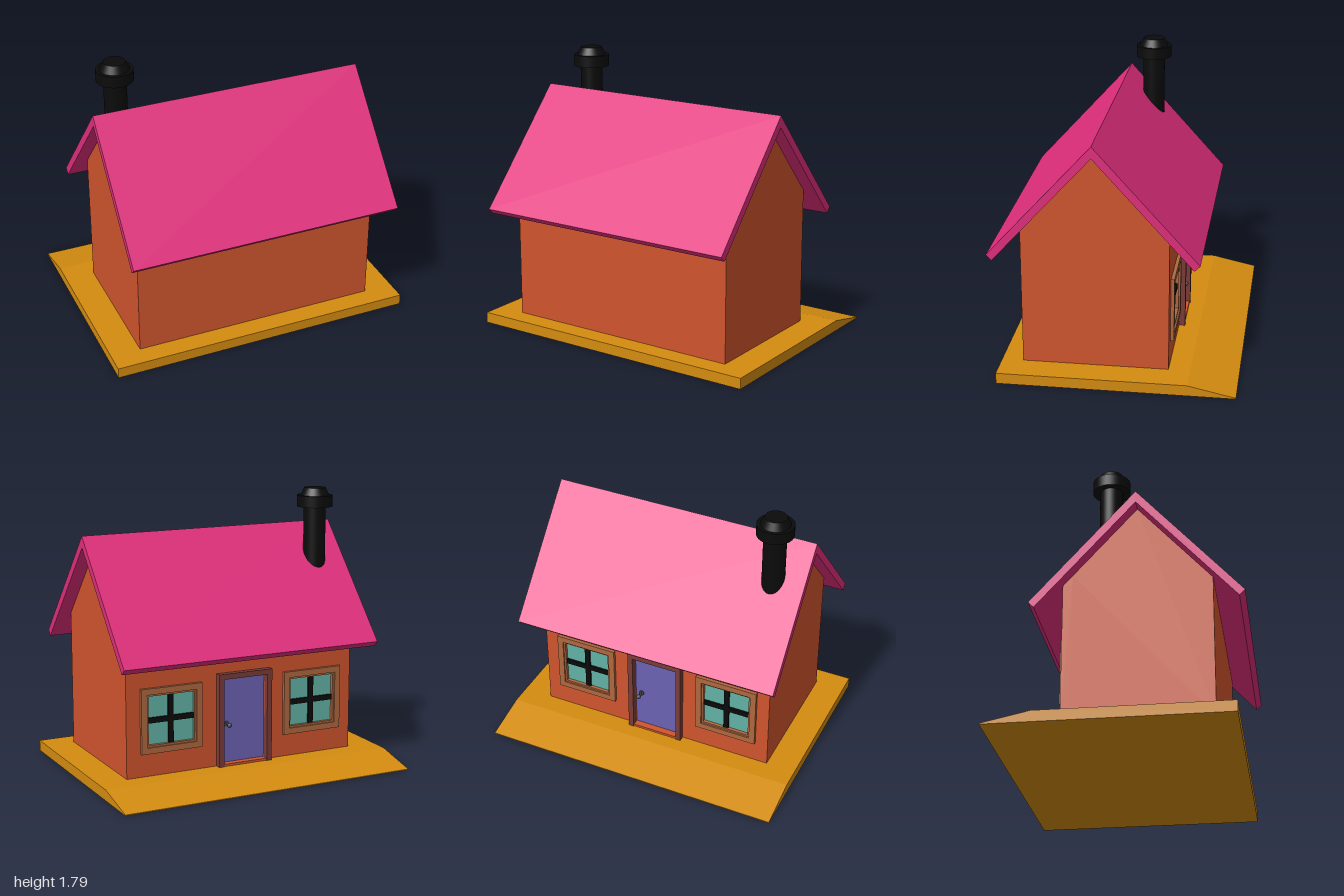
import * as THREE from 'three';

const mat = (color) => new THREE.MeshStandardMaterial({ color, roughness: 0.8 });
const M = {
  base: mat(0xd48c10), wall: mat(0xd0552e), roof: mat(0xe02e7c), black: mat(0x0b0b0b),
  frame: mat(0x7a3c38), wood: mat(0xb0683f), door: mat(0x6c62b4), glass: mat(0x62b3a6),
  metal: mat(0x4a4a55),
};

const poly = (pts) => new THREE.Shape(pts.map(([x, y]) => new THREE.Vector2(x, y)));
const rect = (x0, x1, y0, y1) => [[x0, y0], [x1, y0], [x1, y1], [x0, y1]];

function add(parent, name, geo, material, x = 0, y = 0, z = 0) {
  const m = new THREE.Mesh(geo, material);
  m.name = name;
  m.position.set(x, y, z);
  parent.add(m);
  return m;
}

const box = (w, h, d) => new THREE.BoxGeometry(w, h, d);
const slab = (shape, depth) => new THREE.ExtrudeGeometry(shape, { depth, bevelEnabled: false });

// Extrudes a (z, y) profile across the width, centred on x = 0
function across(pts, width) {
  return slab(poly(pts), width).translate(0, 0, -width / 2).rotateY(-Math.PI / 2);
}

// Square ring facing the back, centred on its own origin
function ring(outer, inner, depth) {
  const s = poly(rect(-outer, outer, -outer, outer));
  s.holes.push(poly(rect(-inner, inner, -inner, inner)));
  return slab(s, depth);
}

const WALL = -0.34, WIN_Y = 0.43, WIN_X = 0.505, WIN_R = 0.17;

function createWindow(x) {
  const g = new THREE.Group();
  g.name = 'window';
  g.position.set(x, WIN_Y, 0);
  add(g, 'windowFrame', ring(0.21, WIN_R, 0.025), M.wood, 0, 0, -0.362);
  add(g, 'windowInnerFrame', ring(WIN_R + 0.005, WIN_R - 0.012, 0.04), M.wood, 0, 0, -0.352);
  add(g, 'glass', box(0.34, 0.34, 0.01), M.glass, 0, 0, -0.325);
  add(g, 'verticalBar', box(0.035, 0.33, 0.02), M.black, 0, 0, -0.333);
  add(g, 'horizontalBar', box(0.33, 0.035, 0.02), M.black, 0, 0, -0.333);
  return g;
}

function createDoor() {
  const g = new THREE.Group();
  g.name = 'door';
  g.position.x = -0.01;
  // Surround with jambs and lintel
  const surround = poly([[-0.19, 0.07], [-0.155, 0.07], [-0.155, 0.645], [0.155, 0.645],
    [0.155, 0.07], [0.19, 0.07], [0.19, 0.68], [-0.19, 0.68]]);
  add(g, 'doorFrame', slab(surround, 0.045), M.frame, 0, 0, -0.38);
  add(g, 'doorPanel', box(0.31, 0.56, 0.02), M.door, 0, 0.365, -0.32);
  add(g, 'doorStep', box(0.31, 0.015, 0.035), M.wall, 0, 0.0775, -0.3575);
  // Knob on a short stem
  add(g, 'knobPlate', new THREE.CylinderGeometry(0.018, 0.018, 0.008, 20).rotateX(Math.PI / 2),
    M.metal, 0.115, 0.34, -0.333);
  add(g, 'knobStem', new THREE.CylinderGeometry(0.007, 0.007, 0.045, 12).rotateX(Math.PI / 2),
    M.metal, 0.115, 0.34, -0.352);
  add(g, 'knob', new THREE.SphereGeometry(0.015, 20, 14), M.metal, 0.115, 0.34, -0.376);
  return g;
}

function createChimney() {
  const g = new THREE.Group();
  g.name = 'chimney';
  g.position.set(-0.685, 0, -0.06);
  const cyl = (rt, rb, h) => new THREE.CylinderGeometry(rt, rb, h, 40);
  add(g, 'pipe', cyl(0.073, 0.073, 0.48), M.black, 0, 1.44, 0);
  add(g, 'collar', cyl(0.118, 0.118, 0.075), M.black, 0, 1.7025, 0);
  add(g, 'cap', cyl(0.07, 0.095, 0.05), M.black, 0, 1.765, 0);
  return g;
}

export function createModel() {
  const model = new THREE.Group();
  model.name = 'house';

  // Ground slab with a ramp along the back
  add(model, 'base', across([[0.715, 0], [0.715, 0.07], [-0.475, 0.07], [-0.775, 0.006],
    [-0.775, 0]], 2), M.base);

  // Gabled body; the back wall is a separate slab pierced for door and windows
  add(model, 'walls', across([[0.58, 0.06], [0.58, 0.965], [0.12, 1.472], [-0.28, 1.03],
    [-0.28, 0.06]], 1.61), M.wall);
  const back = poly(rect(-0.805, 0.805, 0.06, 0.963));
  back.holes.push(poly(rect(-0.165, 0.145, 0.085, 0.645)));
  for (const s of [-1, 1]) {
    const c = s * WIN_X - 0.005;
    back.holes.push(poly(rect(c - WIN_R, c + WIN_R, WIN_Y - WIN_R, WIN_Y + WIN_R)));
    model.add(createWindow(c));
  }
  add(model, 'backWall', slab(back, 0.06), M.wall, 0, 0, WALL);
  // Closes the wedge between back wall and roof at each gable
  add(model, 'backWallTop', across([[-0.28, 0.96], [-0.28, 1.03], [-0.34, 0.963]], 1.61), M.wall);

  model.add(createDoor());

  // Roof: one folded sheet
  add(model, 'roof', across([[0.775, 0.82], [0.12, 1.545], [-0.535, 0.82], [-0.5, 0.785],
    [0.12, 1.47], [0.74, 0.785]], 1.79), M.roof);

  model.add(createChimney());
  return model;
}
